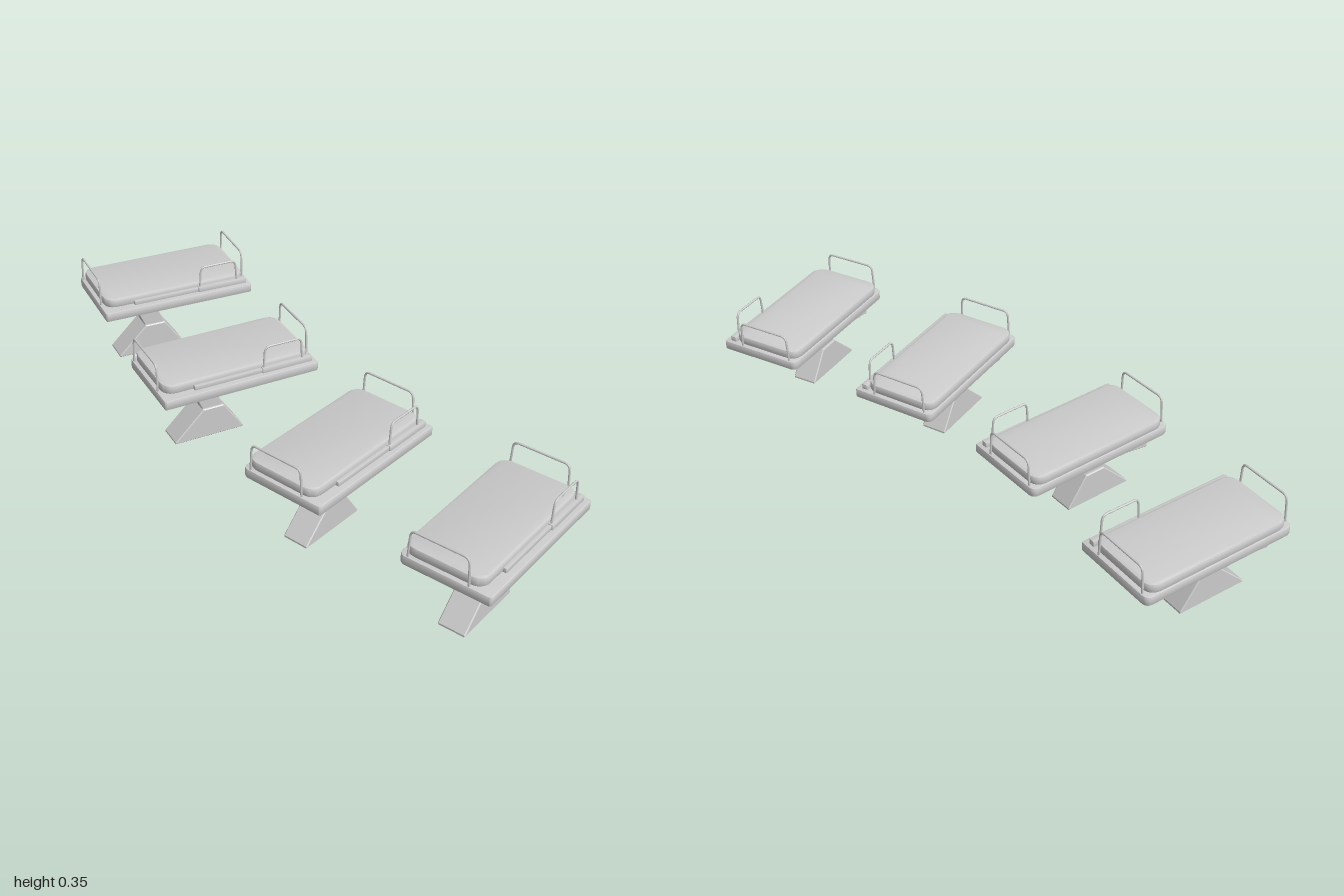
import * as THREE from 'three';
import { toCreasedNormals } from 'three/addons/utils/BufferGeometryUtils.js';

const grey = new THREE.MeshStandardMaterial({ color: 0xcccccc });

function part(name, geometry) {
  const mesh = new THREE.Mesh(geometry, grey);
  mesh.name = name;
  return mesh;
}

// Horizontal slab with rounded corners (rl on the -x side, rr on the +x side) and a bevelled rim
function slab(name, x0, x1, z0, z1, y0, y1, rl, rr, bevel) {
  const b = bevel, l = x0 + b, r = x1 - b, n = -z1 + b, f = -z0 - b;
  const s = new THREE.Shape();
  s.moveTo(l + rl, n);
  s.lineTo(r - rr, n);
  s.quadraticCurveTo(r, n, r, n + rr);
  s.lineTo(r, f - rr);
  s.quadraticCurveTo(r, f, r - rr, f);
  s.lineTo(l + rl, f);
  s.quadraticCurveTo(l, f, l, f - rl);
  s.lineTo(l, n + rl);
  s.quadraticCurveTo(l, n, l + rl, n);
  const g = new THREE.ExtrudeGeometry(s, {
    depth: y1 - y0 - 2 * b, curveSegments: 6,
    bevelEnabled: true, bevelSize: b, bevelThickness: b, bevelSegments: 2,
  });
  g.rotateX(-Math.PI / 2).translate(0, y0 + b, 0);
  return part(name, toCreasedNormals(g, 0.6));
}

// Side profile of [z, y] points, extruded across the width
function profile(name, points, width, x, bevel = 0.003) {
  const s = new THREE.Shape(points.map(([z, y]) => new THREE.Vector2(z, y)));
  const g = new THREE.ExtrudeGeometry(s, {
    depth: width - 2 * bevel, bevelEnabled: true, bevelSize: bevel,
    bevelOffset: -bevel, bevelThickness: bevel, bevelSegments: 1,
  });
  g.translate(0, 0, bevel - width / 2).rotateY(-Math.PI / 2).translate(x, 0, 0);
  return part(name, g);
}

// Bent tube guard rail along local x, standing from y0 to y1
function hoop(name, width, y0, y1, r = 0.022) {
  const w = width / 2, v = (x, y) => new THREE.Vector3(x, y, 0);
  const path = new THREE.CurvePath();
  path.add(new THREE.LineCurve3(v(-w, y0), v(-w + 0.004, y1 - r)));
  path.add(new THREE.QuadraticBezierCurve3(v(-w + 0.004, y1 - r), v(-w + 0.005, y1), v(-w + r, y1)));
  path.add(new THREE.LineCurve3(v(-w + r, y1), v(w - r, y1)));
  path.add(new THREE.QuadraticBezierCurve3(v(w - r, y1), v(w - 0.005, y1), v(w - 0.004, y1 - r)));
  path.add(new THREE.LineCurve3(v(w - 0.004, y1 - r), v(w, y0)));
  return part(name, new THREE.TubeGeometry(path, 60, 0.0035, 8));
}

function createBed() {
  const bed = new THREE.Group();

  // Pedestal: flared foot, leaning column, wedge-shaped support
  bed.add(profile('foot', [[-0.048, 0], [0.19, 0], [0.19, 0.006], [0.091, 0.105], [0.02, 0.105], [-0.048, 0.006]], 0.088, -0.005));
  bed.add(profile('column', [[0.02, 0.1], [0.091, 0.1], [0.134, 0.2], [0.062, 0.21]], 0.073, -0.005));
  bed.add(profile('supportWedge', [[-0.016, 0.206], [0.206, 0.172], [0.206, 0.222], [-0.016, 0.222]], 0.185, -0.022));

  // Deck, mattress and the fittings along the left side
  bed.add(slab('deck', -0.144, 0.144, -0.264, 0.264, 0.216, 0.247, 0.02, 0.004, 0.004));
  bed.add(slab('mattress', -0.14, 0.111, -0.25, 0.252, 0.244, 0.276, 0.035, 0.035, 0.008));
  bed.add(slab('sidePanel', 0.105, 0.122, -0.25, 0.155, 0.24, 0.261, 0.002, 0.002, 0.002));
  bed.add(slab('railBracket', 0.105, 0.127, -0.25, -0.075, 0.24, 0.264, 0.002, 0.002, 0.002));

  // Guard rails at both ends and on the left side
  for (const [name, z] of [['frontRail', 0.258], ['backRail', -0.257]]) {
    const rail = hoop(name, 0.19, 0.24, 0.335);
    rail.position.set(-0.022, 0, z);
    bed.add(rail);
  }
  const side = hoop('sideRail', 0.137, 0.25, 0.335);
  side.rotation.y = Math.PI / 2;
  side.position.set(0.117, 0, -0.15);
  bed.add(side);
  return bed;
}

export function createModel() {
  const model = new THREE.Group();
  model.name = 'bedRow';
  // x, z and yaw in degrees of each bed
  const places = [[-0.757, -0.224, 27.4], [-0.269, 0.046, 25.1], [0.297, 0.199, 3.2], [0.849, 0.237, 0.8]];
  places.forEach(([x, z, yaw], i) => {
    const bed = createBed();
    bed.name = `bed${i + 1}`;
    bed.rotation.set(-0.022, -THREE.MathUtils.degToRad(yaw), 0, 'YXZ');
    bed.position.set(x, 0.001, z);
    model.add(bed);
  });
  return model;
}
